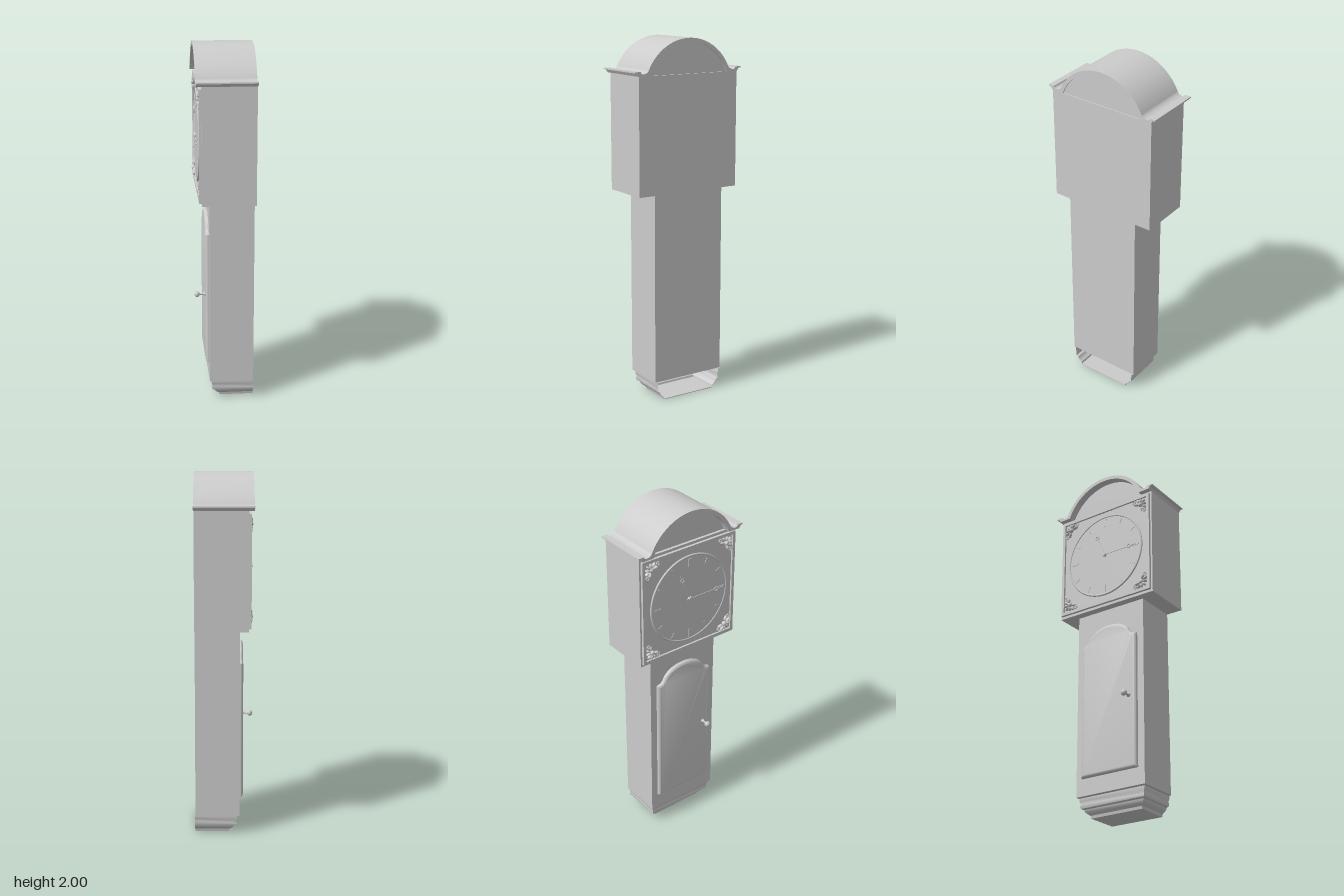
import * as THREE from 'three';
import { toCreasedNormals } from 'three/addons/utils/BufferGeometryUtils.js';

const mat = new THREE.MeshStandardMaterial({ color: 0xcccccc });
const open = new THREE.MeshStandardMaterial({ color: 0xcccccc, side: THREE.DoubleSide });

export function createModel() {
  const model = new THREE.Group();
  // The clock is built facing +z, then turned so its dial looks along -x.
  const clock = new THREE.Group();
  clock.name = 'longcaseClock';
  clock.rotation.y = -Math.PI / 2;
  model.add(clock);

  const add = (name, geo, x = 0, y = 0, z = 0, parent = clock, m = mat) => {
    const mesh = new THREE.Mesh(geo, m);
    mesh.name = name;
    mesh.position.set(x, y, z);
    parent.add(mesh);
    return mesh;
  };
  const box = (name, x0, x1, y0, y1, z0, z1, parent) =>
    add(name, new THREE.BoxGeometry(x1 - x0, y1 - y0, z1 - z0),
      (x0 + x1) / 2, (y0 + y1) / 2, (z0 + z1) / 2, parent);
  const extrude = (shape, depth, opts = {}) => toCreasedNormals(
    new THREE.ExtrudeGeometry(shape, { depth, bevelEnabled: false, curveSegments: 40, ...opts }), 0.5);

  // Trunk and hood cases
  box('trunk', -0.22, 0.22, 0.11, 1.17, -0.16, 0.085);
  box('hood', -0.315, 0.315, 1.17, 1.81, -0.16, 0.13);

  // Plinth: moulded profile [inset, height] swept round three sides, open at the back
  const profile = [[0, 0.11], [0.012, 0.105], [0.012, 0.09], [0.018, 0.075], [0.014, 0.062],
    [0.018, 0.05], [0.03, 0.045], [0.033, 0.035], [0.042, 0.025], [0.055, 0.015], [0.058, 0]];
  const pos = [], idx = [];
  const ring = ([d, y]) => {
    const x = 0.22 - d, z = 0.085 - d;
    return [[-x, y, -0.163], [-x, y, z], [x, y, z], [x, y, -0.163]];
  };
  for (let i = 0; i < profile.length - 1; i++) {
    const a = ring(profile[i]), b = ring(profile[i + 1]);
    for (let j = 0; j < 3; j++) {
      const n = pos.length / 3;
      pos.push(...a[j], ...b[j], ...b[j + 1], ...a[j + 1]);
      idx.push(n, n + 1, n + 2, n, n + 2, n + 3);
    }
  }
  const plinth = new THREE.BufferGeometry();
  plinth.setAttribute('position', new THREE.Float32BufferAttribute(pos, 3));
  plinth.setIndex(idx);
  add('plinthMoulding', toCreasedNormals(plinth, 0.7), 0, 0, 0, clock, open);
  box('plinthFloor', -0.162, 0.162, 0, 0.004, -0.163, 0.027);

  // Arched roof shell with a flared moulding at each foot
  const R = 0.285, cy = 2 - R, a0 = Math.asin((1.835 - cy) / R);
  const roof = new THREE.Shape();
  roof.moveTo(0.25, 1.81);
  roof.lineTo(0.315, 1.81);
  roof.lineTo(0.325, 1.826);
  roof.lineTo(0.339, 1.828);
  roof.lineTo(0.339, 1.835);
  roof.lineTo(0.305, 1.835);
  roof.quadraticCurveTo(0.302, 1.822, 0.29, 1.822);
  roof.quadraticCurveTo(0.272, 1.822, Math.cos(a0) * R, 1.835);
  roof.absarc(0, cy, R, a0, Math.PI - a0, false);
  roof.quadraticCurveTo(-0.272, 1.822, -0.29, 1.822);
  roof.quadraticCurveTo(-0.302, 1.822, -0.305, 1.835);
  roof.lineTo(-0.339, 1.835);
  roof.lineTo(-0.339, 1.828);
  roof.lineTo(-0.325, 1.826);
  roof.lineTo(-0.315, 1.81);
  roof.lineTo(-0.25, 1.81);
  const r = 0.264, a1 = Math.asin((1.81 - cy) / r);
  roof.absarc(0, cy, r, Math.PI - a1, a1, true);
  add('archedRoof', extrude(roof, 0.323), 0, 0, -0.163);

  // Arched infill under the roof
  const infill = new THREE.Shape();
  infill.absarc(0, cy, r + 0.002, a1, Math.PI - a1, false);
  add('archInfill', extrude(infill, 0.27), 0, 0, -0.155);

  // Dial plate with a raised border, and the round dial
  const border = new THREE.Shape();
  const square = (p, s) => {
    p.moveTo(-s, -s); p.lineTo(s, -s); p.lineTo(s, s); p.lineTo(-s, s); p.closePath();
    return p;
  };
  square(border, 0.305);
  border.holes.push(square(new THREE.Path(), 0.288));
  add('dialBorder', extrude(border, 0.015), 0, 1.49, 0.13);
  const dial = new THREE.Group();
  dial.name = 'dial';
  dial.position.set(0, 1.49, 0.13);
  clock.add(dial);
  box('dialPlate', -0.288, 0.288, -0.288, 0.288, 0, 0.004, dial);
  add('dialDisc', new THREE.CylinderGeometry(0.25, 0.25, 0.012, 64).rotateX(Math.PI / 2), 0, 0, 0.006, dial);
  add('dialRim', new THREE.TorusGeometry(0.25, 0.006, 8, 64), 0, 0, 0.01, dial);

  // Hour marks
  for (let i = 0; i < 12; i++) {
    const mark = new THREE.Group();
    mark.name = 'hourMark';
    mark.rotation.z = -i * Math.PI / 6;
    const w = i === 0 ? 0.008 : 0.004;
    box('markBar', -w, w, i % 3 ? 0.205 : 0.19, 0.235, 0.011, 0.015, mark);
    dial.add(mark);
  }

  // Hands: slim bar, ring and pointed tip
  const hand = (name, length, angle, z) => {
    const g = new THREE.Group();
    g.name = name;
    g.rotation.z = angle;
    g.position.z = z;
    box('handBar', -0.004, 0.004, -0.02, length * 0.72, -0.001, 0.002, g);
    add('handRing', new THREE.TorusGeometry(0.011, 0.003, 6, 20), 0, length * 0.72 + 0.011, 0, g);
    const tip = new THREE.Shape([[-0.005, 0], [0.005, 0], [0, length * 0.28 - 0.02]]
      .map(([x, y]) => new THREE.Vector2(x, y)));
    add('handTip', extrude(tip, 0.003), 0, length * 0.72 + 0.02, -0.001, g);
    dial.add(g);
  };
  hand('hourHand', 0.17, Math.PI / 8, 0.017);
  hand('minuteHand', 0.225, -Math.PI / 2, 0.021);
  add('handHub', new THREE.CylinderGeometry(0.011, 0.013, 0.016, 20).rotateX(Math.PI / 2), 0, 0, 0.018, dial);

  // Leafy corner ornaments
  const bead = new THREE.SphereGeometry(1, 14, 10);
  for (const sx of [-1, 1]) for (const sy of [-1, 1]) {
    const g = new THREE.Group();
    g.name = 'cornerOrnament';
    g.position.set(sx * 0.247, sy * 0.247, 0.006);
    g.rotation.z = Math.atan2(sy, sx);
    add('ornamentHeart', bead, 0, 0, 0.004, g).scale.set(0.014, 0.014, 0.014);
    for (const t of [-2.1, -1.35, -0.7, 0, 0.7, 1.35, 2.1]) {
      const d = Math.abs(t) > 1 ? 0.03 : 0.024;
      const leaf = add('ornamentLeaf', bead, Math.cos(t) * d, Math.sin(t) * d, 0.003, g);
      leaf.scale.set(0.016, 0.007, 0.011);
      leaf.rotation.z = t;
    }
    for (const s of [-1, 1])
      add('ornamentScroll', new THREE.TorusGeometry(0.009, 0.004, 6, 16), -0.012, s * 0.047, 0.006, g);
    dial.add(g);
  }

  // Trunk door: straight sides, hollowed shoulders, arched head
  const doorShape = (i) => {
    const s = new THREE.Shape(), x = 0.18 - i;
    s.moveTo(-x, 0.205 + i);
    s.lineTo(x, 0.205 + i);
    s.lineTo(x, 0.975 - i);
    s.quadraticCurveTo(x - 0.03, 0.982 - i, x - 0.045, 1.015 - i);
    s.bezierCurveTo(x - 0.08, 1.083 - i, -x + 0.08, 1.083 - i, -x + 0.045, 1.015 - i);
    s.quadraticCurveTo(-x + 0.03, 0.982 - i, -x, 0.975 - i);
    s.closePath();
    return s;
  };
  add('trunkDoor', extrude(doorShape(0.018), 0.004, {
    bevelEnabled: true, bevelThickness: 0.016, bevelSize: 0.018, bevelSegments: 5, curveSegments: 16,
  }), 0, 0, 0.085);

  // Door knob
  const knob = [[0, 0], [0.013, 0], [0.011, 0.006], [0.006, 0.012], [0.005, 0.028], [0.008, 0.034],
    [0.017, 0.042], [0.018, 0.048], [0.014, 0.056], [0.007, 0.061], [0, 0.062]]
    .map(([x, y]) => new THREE.Vector2(x, y));
  add('doorKnob', new THREE.LatheGeometry(knob, 24).rotateX(Math.PI / 2), 0.135, 0.61, 0.103);

  return model;
}
